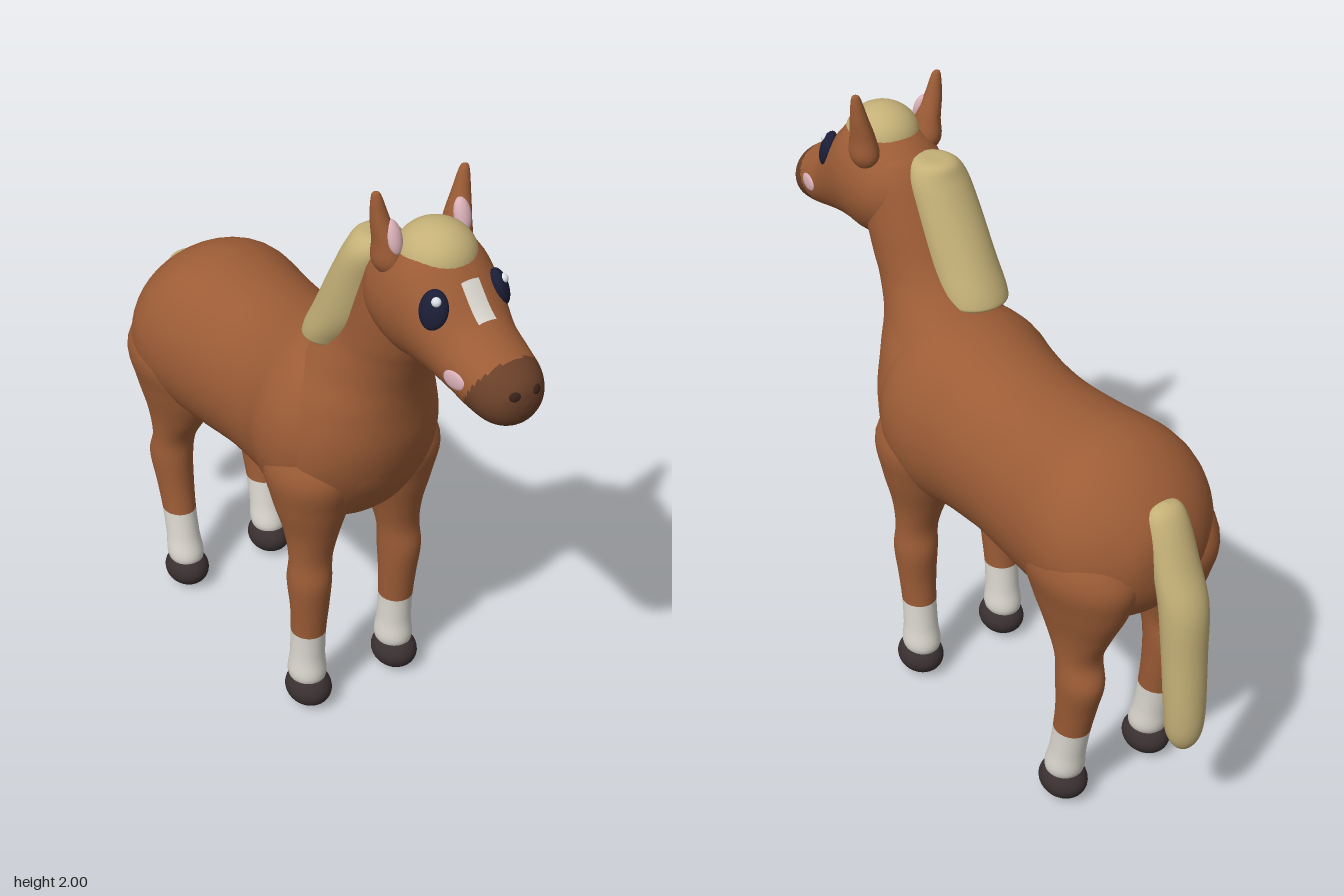
import * as THREE from 'three';

const mat = (name, color) => {
  const m = new THREE.MeshStandardMaterial({ color });
  m.name = name;
  return m;
};

// Smooth closed skin over elliptical rings. Each row: [position on axis, low, high, centre x, half width].
// Axis 'z' rows run back to front (low/high are y); axis 'y' rows run top to bottom (low/high are z).
function loft(name, axis, rows, materials, pick = () => 0, steps = 5, sides = 40) {
  const spline = new THREE.CubicInterpolant(rows.map((_, i) => i), rows.flat(), 5, new Float32Array(5));
  const rings = (rows.length - 1) * steps;
  const pos = [];
  for (let i = 0; i <= rings; i++) {
    const [t, lo, hi, xc, rx] = spline.evaluate(i / steps);
    const mid = (lo + hi) / 2, r = Math.max(0, (hi - lo) / 2), w = Math.max(0, rx);
    for (let j = 0; j < sides; j++) {
      const a = (j / sides) * Math.PI * 2;
      const x = xc + w * Math.cos(a), b = mid + r * Math.sin(a);
      pos.push(...(axis === 'z' ? [x, b, t] : [x, t, b]));
    }
  }
  // Faces are sorted into one group per colour
  const faces = materials.map(() => []);
  for (let i = 0; i < rings; i++) {
    for (let j = 0; j < sides; j++) {
      const k = (j + 1) % sides;
      const a = i * sides + j, b = i * sides + k, c = a + sides, d = b + sides;
      const mean = (n) => (pos[a * 3 + n] + pos[b * 3 + n] + pos[c * 3 + n] + pos[d * 3 + n]) / 4;
      faces[pick(mean(0), mean(1), mean(2))].push(a, b, d, a, d, c);
    }
  }
  const geo = new THREE.BufferGeometry();
  geo.setAttribute('position', new THREE.Float32BufferAttribute(pos, 3));
  geo.setIndex(faces.flat());
  let start = 0;
  faces.forEach((f, n) => {
    geo.addGroup(start, f.length, n);
    start += f.length;
  });
  geo.computeVertexNormals();
  const mesh = new THREE.Mesh(geo, materials.length > 1 ? materials : materials[0]);
  mesh.name = name;
  return mesh;
}

// Ellipsoid whose local z axis points along the given direction
function ball(name, material, at, radii, facing = [0, 0, 1]) {
  const mesh = new THREE.Mesh(new THREE.SphereGeometry(1, 32, 20), material);
  mesh.name = name;
  mesh.position.set(...at);
  mesh.lookAt(at[0] + facing[0], at[1] + facing[1], at[2] + facing[2]);
  mesh.scale.set(...radii);
  return mesh;
}

export function createModel() {
  const coat = mat('chestnut coat', 0x9c5c36);
  const hair = mat('blond hair', 0xc4b077);
  const sock = mat('white markings', 0xdcd8d0);
  const hoofMat = mat('dark hoof', 0x3a3031);
  const muzzle = mat('brown muzzle', 0x6a4029);
  const nostrilMat = mat('dark nostril', 0x3a221a);
  const eyeMat = mat('navy eye', 0x1b1d36);
  const pink = mat('soft pink', 0xdab0b8);
  const glint = mat('eye glint', 0xe4e8f0);

  const horse = new THREE.Group();
  horse.name = 'horse';

  // Barrel, from rump to chest
  horse.add(loft('body', 'z', [
    [-0.85, 0.98, 0.98, 0, 0], [-0.84, 0.89, 1.07, 0, 0.1], [-0.81, 0.82, 1.14, 0, 0.17],
    [-0.74, 0.75, 1.22, 0, 0.25], [-0.65, 0.71, 1.28, 0, 0.295], [-0.55, 0.7, 1.305, 0, 0.302],
    [-0.4, 0.7, 1.297, 0, 0.285], [-0.22, 0.715, 1.292, 0, 0.27], [-0.1, 0.712, 1.31, 0, 0.27],
    [0, 0.705, 1.342, 0, 0.277], [0.1, 0.7, 1.365, 0, 0.3], [0.2, 0.72, 1.36, 0, 0.288],
    [0.3, 0.8, 1.3, 0, 0.225], [0.37, 0.88, 1.2, 0, 0.155], [0.41, 0.98, 1.11, 0, 0.08],
    [0.42, 1.04, 1.04, 0, 0],
  ], [coat]));

  // Neck flowing down into the breast
  horse.add(loft('neck', 'y', [
    [1.8, 0.47, 0.47, 0, 0], [1.79, 0.4, 0.53, 0, 0.08], [1.74, 0.35, 0.59, 0, 0.125],
    [1.6, 0.28, 0.585, 0, 0.138], [1.48, 0.22, 0.55, 0, 0.14], [1.4, 0.15, 0.512, 0, 0.147],
    [1.3, 0.01, 0.472, 0, 0.182], [1.2, -0.08, 0.452, 0, 0.235], [1.08, -0.1, 0.438, 0, 0.268],
    [0.97, -0.1, 0.408, 0, 0.275], [0.87, -0.07, 0.362, 0, 0.25], [0.78, 0, 0.3, 0, 0.19],
    [0.72, 0.08, 0.22, 0, 0.08], [0.71, 0.15, 0.15, 0, 0],
  ], [coat]));

  // Head with a darker muzzle
  const headRows = [
    [0.33, 1.68, 1.68, 0, 0], [0.35, 1.61, 1.74, 0, 0.07], [0.4, 1.54, 1.79, 0, 0.125],
    [0.46, 1.5, 1.83, 0, 0.155], [0.54, 1.475, 1.875, 0, 0.167], [0.62, 1.478, 1.872, 0, 0.163],
    [0.7, 1.473, 1.805, 0, 0.147], [0.78, 1.46, 1.715, 0, 0.128], [0.85, 1.447, 1.672, 0, 0.121],
    [0.92, 1.441, 1.638, 0, 0.108], [0.965, 1.46, 1.605, 0, 0.078], [0.985, 1.495, 1.575, 0, 0.042],
    [0.992, 1.535, 1.535, 0, 0],
  ];
  horse.add(loft('head', 'z', headRows, [coat, muzzle],
    (x, y, z) => (z > 0.835 + (y - 1.47) * 0.5 ? 1 : 0), 8, 56));

  // Forehead blaze, following the curve of the face
  const face = new THREE.CubicInterpolant(headRows.map((r) => r[0]), headRows.flat(), 5, new Float32Array(5));
  const blazeGeo = new THREE.PlaneGeometry(0.06, 0.085, 8, 8);
  const p = blazeGeo.attributes.position;
  for (let i = 0; i < p.count; i++) {
    const x = p.getX(i), z = 0.76 - p.getY(i);
    const [, lo, hi, , w] = face.evaluate(z);
    p.setXYZ(i, x, (lo + hi) / 2 + ((hi - lo) / 2) * Math.sqrt(1 - (x / w) ** 2) + 0.005, z + 0.004);
  }
  blazeGeo.computeVertexNormals();
  const blaze = new THREE.Mesh(blazeGeo, sock);
  blaze.name = 'blaze';
  horse.add(blaze);

  // Forelock, mane falling to the right, and tail
  horse.add(ball('forelock', hair, [0, 1.803, 0.57], [0.116, 0.102, 0.12]));
  horse.add(loft('mane', 'y', [
    [1.793, 0.36, 0.36, -0.04, 0], [1.787, 0.29, 0.42, -0.04, 0.06], [1.74, 0.262, 0.43, -0.045, 0.093],
    [1.65, 0.215, 0.4, -0.05, 0.102], [1.5, 0.135, 0.35, -0.056, 0.106], [1.4, 0.085, 0.28, -0.06, 0.106],
    [1.37, 0.09, 0.25, -0.06, 0.09], [1.35, 0.17, 0.17, -0.06, 0],
  ], [hair]));
  horse.add(loft('tail', 'y', [
    [1.175, -0.8, -0.8, 0, 0], [1.16, -0.835, -0.76, 0, 0.05], [1.11, -0.868, -0.75, 0, 0.07],
    [1, -0.915, -0.79, 0, 0.075], [0.87, -0.97, -0.825, 0, 0.077], [0.7, -0.982, -0.845, 0, 0.07],
    [0.5, -0.992, -0.865, 0, 0.064], [0.41, -0.985, -0.875, 0, 0.055], [0.36, -0.96, -0.9, 0, 0.03],
    [0.345, -0.93, -0.93, 0, 0],
  ], [hair]));

  // Leg colours change at the top of the sock
  const legPaint = (x, y) => (y < 0.3 ? 1 : 0);
  const frontLeg = [
    [1.12, 0.16, 0.16, 0.14, 0], [1.08, 0.06, 0.26, 0.14, 0.09], [0.95, 0.01, 0.34, 0.15, 0.145],
    [0.82, 0.05, 0.315, 0.156, 0.122], [0.7, 0.1, 0.282, 0.16, 0.088], [0.6, 0.13, 0.264, 0.168, 0.071],
    [0.51, 0.122, 0.274, 0.174, 0.07], [0.4, 0.132, 0.26, 0.172, 0.062], [0.3, 0.13, 0.248, 0.172, 0.056],
    [0.2, 0.123, 0.243, 0.172, 0.056], [0.11, 0.115, 0.245, 0.172, 0.058], [0.06, 0.18, 0.18, 0.172, 0],
  ];
  const backLeg = [
    [1.15, -0.6, -0.6, 0.14, 0], [1.1, -0.72, -0.48, 0.14, 0.1], [0.95, -0.825, -0.4, 0.146, 0.156],
    [0.82, -0.805, -0.43, 0.154, 0.124], [0.7, -0.75, -0.495, 0.16, 0.09], [0.6, -0.712, -0.558, 0.168, 0.072],
    [0.51, -0.735, -0.567, 0.174, 0.07], [0.4, -0.705, -0.567, 0.172, 0.062], [0.3, -0.68, -0.555, 0.172, 0.056],
    [0.2, -0.66, -0.538, 0.172, 0.056], [0.11, -0.645, -0.52, 0.172, 0.058], [0.06, -0.58, -0.58, 0.172, 0],
  ];

  for (const [label, s] of [['left', 1], ['right', -1]]) {
    const mirror = (rows) => rows.map(([t, lo, hi, x, w]) => [t, lo, hi, x * s, w]);

    // Legs and hooves
    horse.add(loft(`${label}FrontLeg`, 'y', mirror(frontLeg), [coat, sock], legPaint));
    horse.add(loft(`${label}BackLeg`, 'y', mirror(backLeg), [coat, sock], legPaint));
    horse.add(ball(`${label}FrontHoof`, hoofMat, [0.172 * s, 0.064, 0.188], [0.073, 0.064, 0.085]));
    horse.add(ball(`${label}BackHoof`, hoofMat, [0.172 * s, 0.064, -0.58], [0.073, 0.064, 0.085]));

    // Ears with pink lining
    horse.add(loft(`${label}Ear`, 'y', mirror([
      [2, 0.49, 0.49, 0.15, 0], [1.99, 0.477, 0.503, 0.149, 0.014], [1.92, 0.464, 0.522, 0.138, 0.027],
      [1.85, 0.455, 0.548, 0.122, 0.037], [1.78, 0.45, 0.555, 0.115, 0.042], [1.72, 0.5, 0.5, 0.11, 0],
    ]), [coat]));
    horse.add(ball(`${label}EarLining`, pink, [0.117 * s, 1.868, 0.53], [0.026, 0.052, 0.021], [-0.1 * s, 0.35, 1]));

    // Eyes, glints, cheeks and nostrils
    horse.add(ball(`${label}Eye`, eyeMat, [0.112 * s, 1.728, 0.712], [0.042, 0.058, 0.026], [0.75 * s, 0.3, 0.5]));
    horse.add(ball(`${label}EyeGlint`, glint, [0.115 * s, 1.76, 0.726], [0.014, 0.014, 0.012], [0.75 * s, 0.3, 0.5]));
    horse.add(ball(`${label}Cheek`, pink, [0.122 * s, 1.567, 0.825], [0.04, 0.027, 0.008], [s, 0, 0.15]));
    horse.add(ball(`${label}Nostril`, nostrilMat, [0.036 * s, 1.565, 0.978], [0.018, 0.015, 0.009], [0.3 * s, 0.3, 1]));
  }
  return horse;
}
